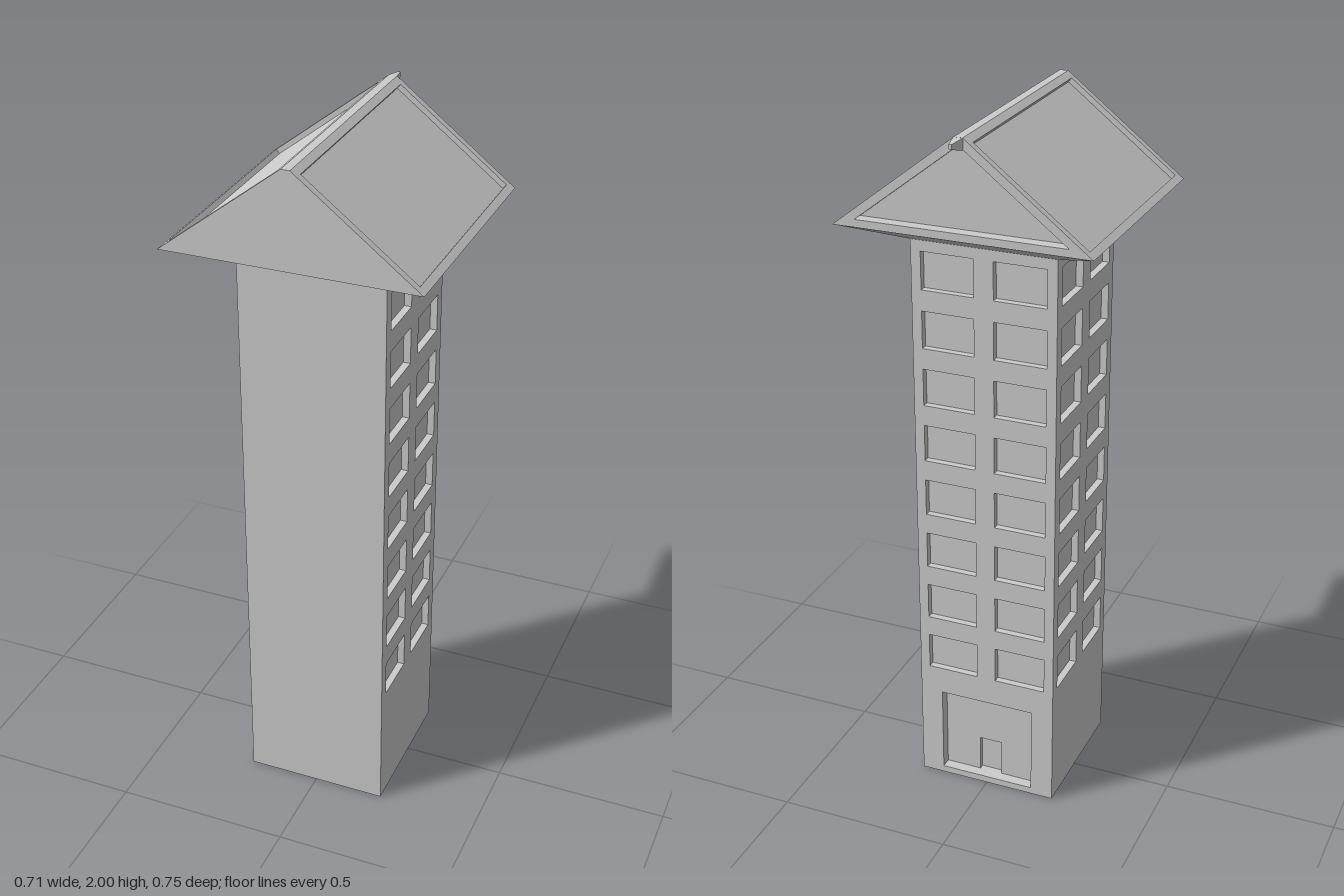
import * as THREE from 'three';
import { ConvexGeometry } from 'three/addons/geometries/ConvexGeometry.js';

const grey = new THREE.MeshStandardMaterial({ color: 0xcccccc });
const HX = 0.206, Z0 = -0.187, Z1 = 0.233, H = 1.67; // tower extents
const INSET = 0.02; // window depth

const points = (list) => list.map(([x, y]) => new THREE.Vector2(x, y));
const rect = (x0, x1, y0, y1) => points([[x0, y0], [x1, y0], [x1, y1], [x0, y1]]);

// Flat slab with cut-outs, extruded along +z
function slab(outline, holes, depth) {
  const shape = new THREE.Shape(outline);
  holes.forEach((h) => shape.holes.push(new THREE.Path(h)));
  return new THREE.ExtrudeGeometry(shape, { depth, bevelEnabled: false });
}

// Eight floors of windows in the given columns
function windows(columns) {
  const list = [];
  for (let i = 0; i < 8; i++) {
    const y = 0.365 + i * 0.1667;
    columns.forEach(([a, b]) => list.push(rect(a, b, y, y + 0.107)));
  }
  return list;
}

export function createModel() {
  const model = new THREE.Group();
  const add = (name, geometry) => {
    const mesh = new THREE.Mesh(geometry, grey);
    mesh.name = name;
    model.add(mesh);
    return mesh;
  };

  // Tower core behind the walls
  const inner = HX - INSET, coreBack = Z0 + 0.047;
  add('towerCore', new THREE.BoxGeometry(inner * 2, H, Z1 - coreBack))
    .position.set(0, H / 2, (Z1 + coreBack) / 2);

  // Side walls with windows; shape x runs along -z on the left side and is mirrored on the right
  const cols = [[-0.2, -0.053], [0.003, 0.153]];
  const leftWall = add('leftWall', slab(rect(-Z1, -Z0, 0, H), windows(cols), INSET));
  leftWall.rotation.y = Math.PI / 2;
  leftWall.position.x = inner;
  const mirrored = cols.map(([a, b]) => [-b, -a]);
  const rightWall = add('rightWall', slab(rect(Z0, Z1, 0, H), windows(mirrored), INSET));
  rightWall.rotation.y = -Math.PI / 2;
  rightWall.position.x = -inner;

  // Back wall in three layers: windows and porch, porch, small door
  const wall = rect(-inner, inner, 0, H);
  const porch = rect(-0.14, 0.14, 0.02, 0.283);
  const door = rect(-0.034, 0.034, 0.02, 0.13);
  const backCols = [[-0.178, -0.028], [0.028, 0.178]];
  add('backWall', slab(wall, [...windows(backCols), porch], INSET)).position.z = Z0;
  add('porchWall', slab(wall, [porch], 0.012)).position.z = Z0 + INSET;
  add('doorWall', slab(wall, [door], 0.015)).position.z = Z0 + 0.032;

  // Flared underside of the roof
  const E = 0.3535, EY = 1.735;
  const skirt = add('eaves', new THREE.CylinderGeometry(E * Math.SQRT2, 0.21 * Math.SQRT2, EY - H, 4, 1, true)
    .rotateY(Math.PI / 4));
  skirt.position.set(0, (EY + H) / 2, 0.022);

  // Gable cross-section, plain and with a notch in each slope
  const R = 0.012;
  const half = new THREE.Vector2(R - E, 2 - EY);
  const along = half.clone().normalize();
  const inward = new THREE.Vector2(-along.y, along.x);
  const onSlope = (s, d) => new THREE.Vector2(E, EY).addScaledVector(along, s).addScaledVector(inward, d);
  const L = half.length(), M = 0.023, D = 0.015;
  const profile = (right) => [...right, ...right.map((p) => new THREE.Vector2(-p.x, p.y)).reverse()];
  const plain = profile([onSlope(0, 0), onSlope(L, 0)]);
  const notched = profile([onSlope(0, 0), onSlope(M, 0), onSlope(M, D),
    onSlope(L - M, D), onSlope(L - M, 0), onSlope(L, 0)]);
  const triangle = points([[-0.29, 1.756], [0.29, 1.756], [0, 1.98]]);

  // Roof built from back to front
  [
    ['backGableFrame', plain, [triangle], -0.332, -0.311],
    ['backGableRecess', notched, [triangle], -0.311, -0.298],
    ['roofPanels', notched, [], -0.298, 0.354],
    ['frontGable', plain, [], 0.354, 0.3755],
  ].forEach(([name, outline, holes, a, b]) => {
    add(name, slab(outline, holes, b - a)).position.z = a;
  });

  // Tapered spur at the back of the ridge
  const spur = [];
  for (const s of [-1, 1]) {
    spur.push(new THREE.Vector3(s * 0.013, 2, -0.33), new THREE.Vector3(s * 0.013, 1.968, -0.33),
      new THREE.Vector3(s * 0.004, 1.995, -0.378), new THREE.Vector3(s * 0.004, 1.982, -0.378));
  }
  add('ridgeSpur', new ConvexGeometry(spur));

  return model;
}
